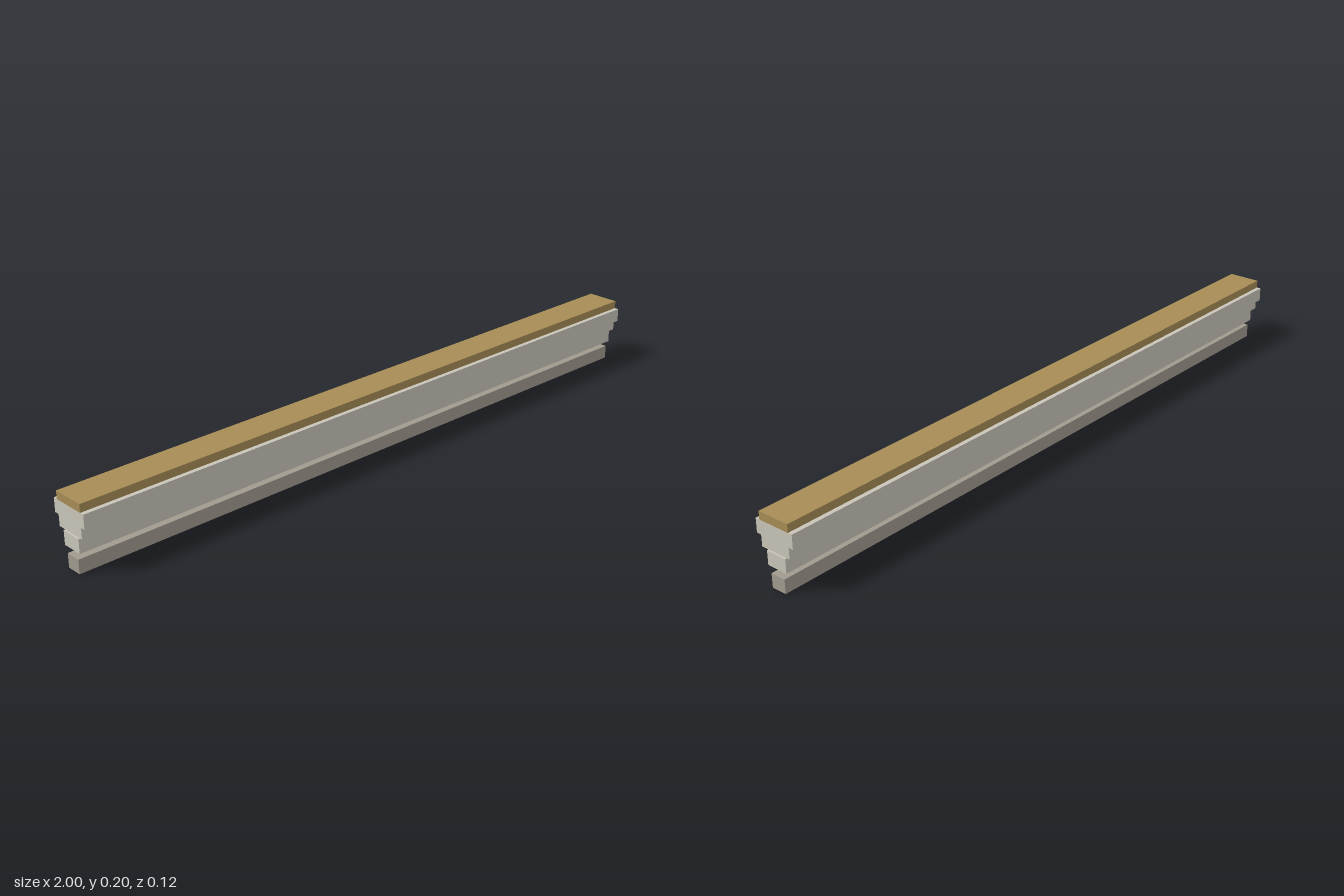
import * as THREE from 'three';

export function createModel() {
  const group = new THREE.Group();
  group.name = 'steppedMoulding';

  const material = (name, color) => {
    const m = new THREE.MeshStandardMaterial({ color });
    m.name = name;
    return m;
  };
  const gilt = material('gilt', 0xa68c55);
  const paleStone = material('paleStone', 0xc8c4b8);
  const greyStone = material('greyStone', 0xa09a8e);

  // Full-length strips: name, bottom, top, depth, material
  const strips = [
    ['bottomRail', 0, 0.04, 0.045, greyStone],
    ['lowerStrip', 0.059, 0.099, 0.063, paleStone],
    ['middleStrip', 0.104, 0.136, 0.095, paleStone],
    ['wideStrip', 0.136, 0.176, 0.124, paleStone],
    ['giltCap', 0.176, 0.199, 0.098, gilt],
  ];
  for (const [name, bottom, top, depth, mat] of strips) {
    const strip = new THREE.Mesh(new THREE.BoxGeometry(2, top - bottom, depth), mat);
    strip.name = name;
    strip.position.y = (bottom + top) / 2;
    group.add(strip);
  }
  return group;
}
